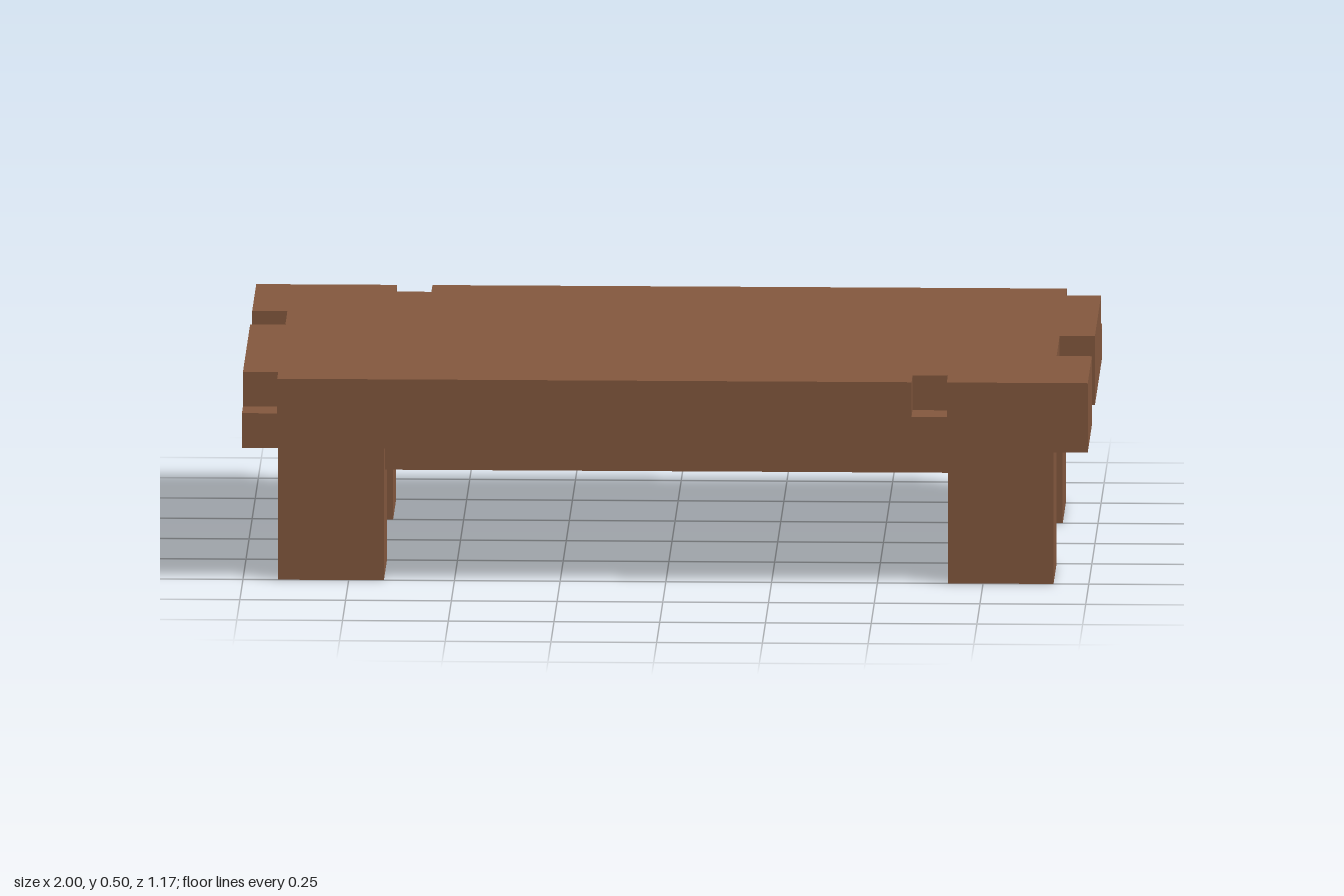
import * as THREE from 'three';

const U = 1 / 12; // the table is laid out on a grid of twelfths

export function createModel() {
  const table = new THREE.Group();
  table.name = 'table';
  const wood = new THREE.MeshStandardMaterial({ color: 0x85593f });
  wood.name = 'brown wood';

  // Box given by its limits in grid units
  function block(name, x0, x1, y0, y1, z0, z1) {
    const geometry = new THREE.BoxGeometry((x1 - x0) * U, (y1 - y0) * U, (z1 - z0) * U);
    const mesh = new THREE.Mesh(geometry, wood);
    mesh.position.set((x0 + x1) * U / 2, (y0 + y1) * U / 2, (z0 + z1) * U / 2);
    mesh.name = name;
    table.add(mesh);
  }

  // Table top: notched outline in x, z, starting at the front
  const outline = [
    [-11, 7], [7, 7], [7, 6], [8, 6], [8, 7], [12, 7],
    [12, 3], [11, 3], [11, 0], [12, 0], [12, -6], [11, -6],
    [11, -7], [-7, -7], [-7, -6], [-8, -6], [-8, -7], [-12, -7],
    [-12, -3], [-11, -3], [-11, -1], [-12, -1], [-12, 6], [-11, 6],
  ];
  const shape = new THREE.Shape(outline.map(([x, z]) => new THREE.Vector2(x * U, -z * U)));
  const topGeometry = new THREE.ExtrudeGeometry(shape, { depth: 2 * U, bevelEnabled: false });
  topGeometry.rotateX(-Math.PI / 2);
  const top = new THREE.Mesh(topGeometry, wood);
  top.position.y = 4 * U;
  top.name = 'tableTop';
  table.add(top);

  // Half-height floors of the shallow notches; the gap on the left end stays open
  const floors = [
    [-12, -11, 6, 7], [7, 8, 6, 7], [11, 12, -7, -6], [-8, -7, -7, -6], [-12, -11, -3, -1],
  ];
  for (const [x0, x1, z0, z1] of floors) block('notchFloor', x0, x1, 4, 5, z0, z1);

  // Legs
  for (const x of [-11, 8]) {
    for (const z of [-6, 3]) block('leg', x, x + 3, 0, 4, z, z + 3);
  }

  // Rails between the legs, set in from their outer faces
  for (const z of [-5, 4]) block('longRail', -8, 8, 3, 4, z, z + 1);
  for (const x of [-10, 9]) block('endRail', x, x + 1, 3, 4, -3, 3);

  return table;
}
